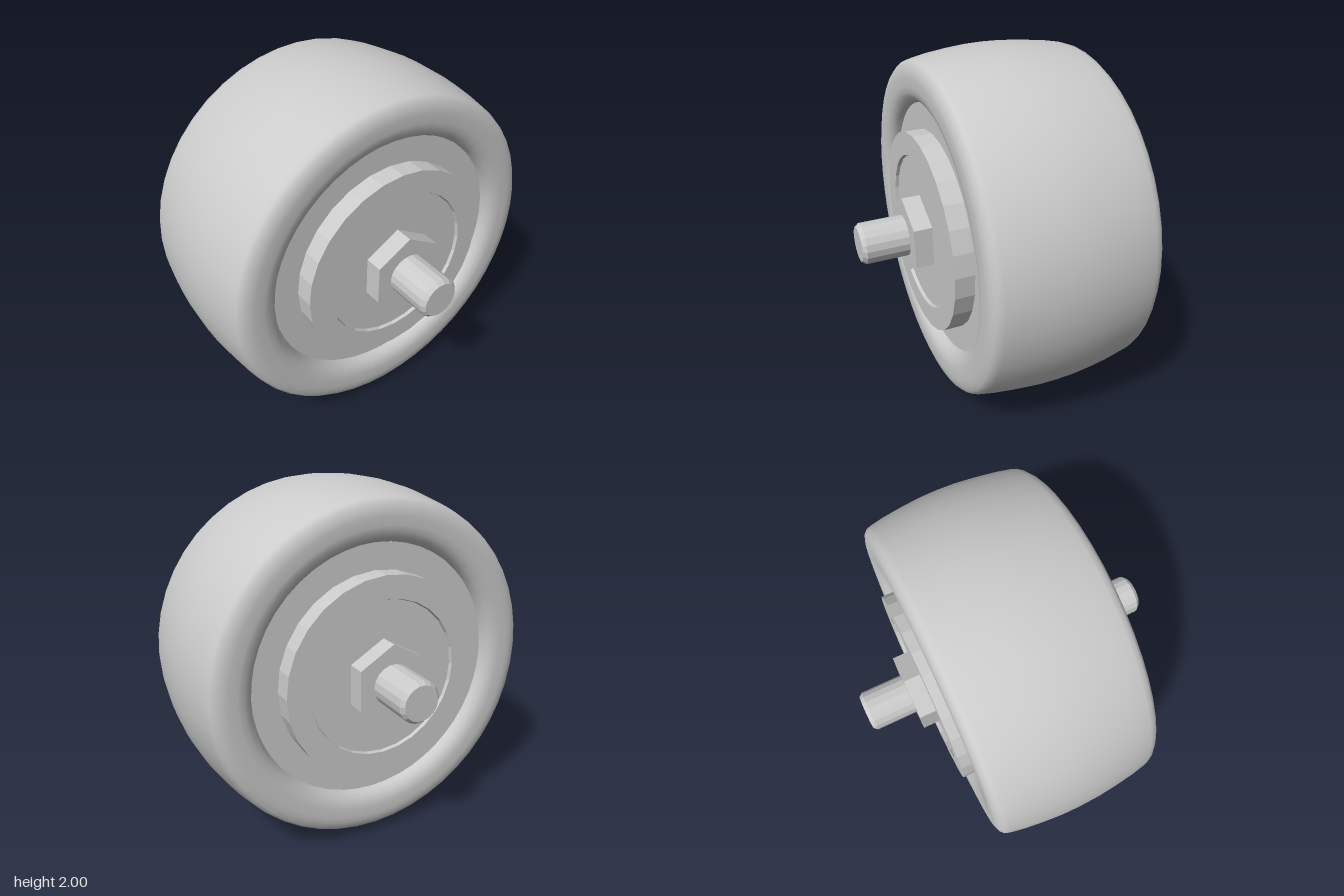
import * as THREE from 'three';

const smooth = new THREE.MeshStandardMaterial({ color: 0xcccccc });
const flat = new THREE.MeshStandardMaterial({ color: 0xcccccc, flatShading: true });

// Full symmetric profile from one half: [radius, offset], listed from the middle outwards
function mirrored(half) {
  const left = half.map(([r, x]) => new THREE.Vector2(r, -x)).reverse();
  const right = half.map(([r, x]) => new THREE.Vector2(r, x));
  return half[0][1] === 0 ? left.concat(right.slice(1)) : left.concat(right);
}

function lathe(name, half, segments, material) {
  const mesh = new THREE.Mesh(new THREE.LatheGeometry(mirrored(half), segments), material);
  mesh.name = name;
  return mesh;
}

export function createModel() {
  const model = new THREE.Group();
  model.name = 'wheel';

  // Everything turns about local y, which is laid along x with a very slight lean
  const wheel = new THREE.Group();
  wheel.name = 'wheelAssembly';
  wheel.rotation.z = -Math.PI / 2 - 0.01;
  wheel.position.y = 1;
  model.add(wheel);

  // Crowned tyre with rounded shoulders rolling into the bore
  wheel.add(lathe('tyre', [
    [1, 0], [0.997, 0.11], [0.987, 0.22], [0.973, 0.33], [0.957, 0.415],
    [0.947, 0.445], [0.927, 0.465], [0.89, 0.477], [0.86, 0.479], [0.81, 0.479],
    [0.775, 0.473], [0.745, 0.458], [0.725, 0.435], [0.715, 0.405],
  ], 48, smooth));

  // Hub web with raised bearing housing and shallow recess
  wheel.add(lathe('hub', [
    [0.72, 0.41], [0.57, 0.41], [0.57, 0.52], [0.44, 0.52], [0.434, 0.502], [0, 0.502],
  ], 28, flat));

  // Axle with chamfered ends
  wheel.add(lathe('axle', [
    [0.116, 0], [0.116, 0.845], [0.098, 0.867], [0, 0.867],
  ], 18, flat));

  // Hexagonal nuts, corners up and down
  for (const side of [-1, 1]) {
    const nut = new THREE.Mesh(
      new THREE.CylinderGeometry(0.225, 0.225, 0.105, 6, 1, false, Math.PI / 6), flat);
    nut.name = side > 0 ? 'leftNut' : 'rightNut';
    nut.position.y = side * 0.553;
    wheel.add(nut);
  }
  return model;
}
